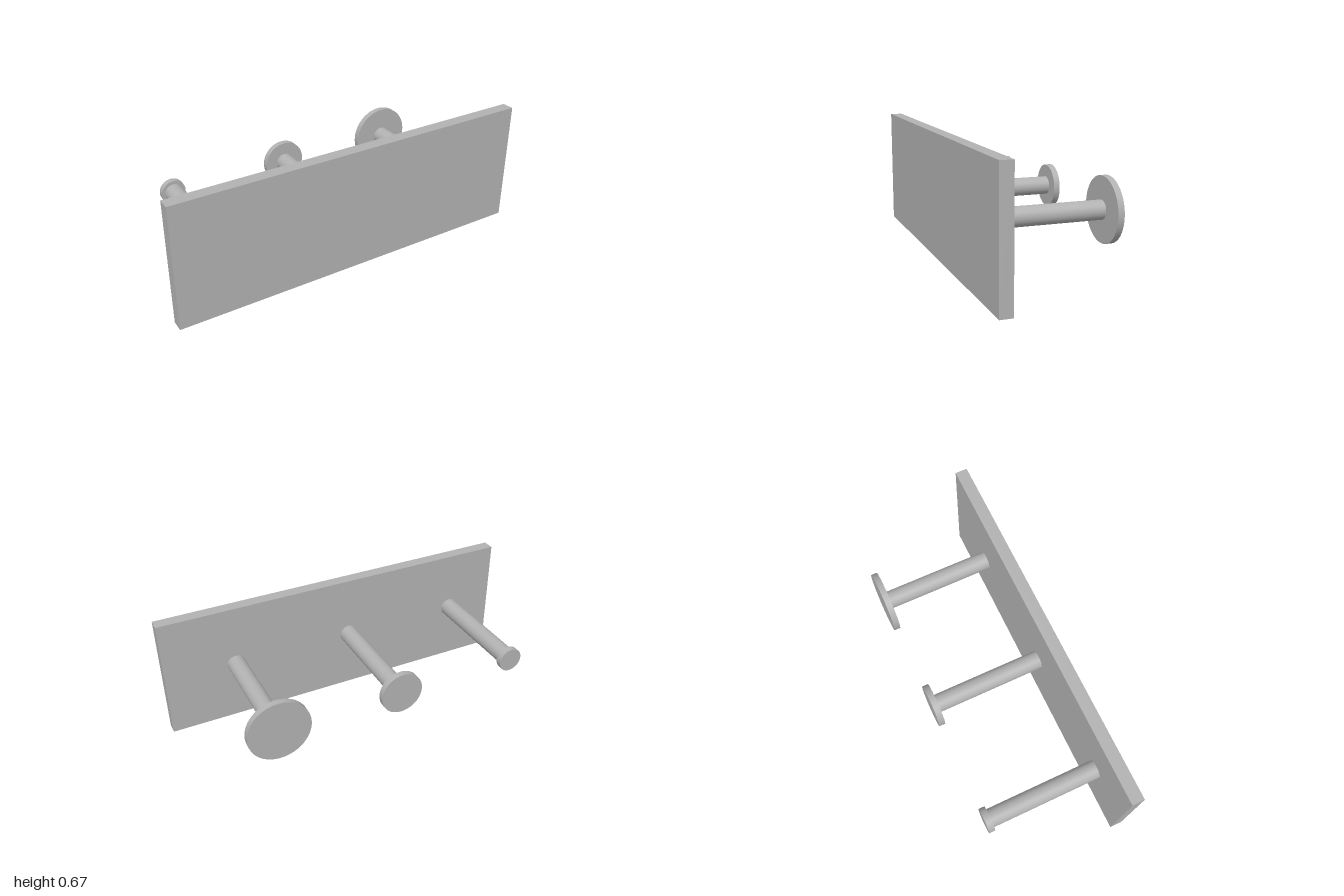
import * as THREE from 'three';

export function createModel() {
  const group = new THREE.Group();
  const grey = new THREE.MeshStandardMaterial({ color: 0xb2b2b2 });
  grey.name = 'plain grey';

  const add = (name, geometry, x, y, z) => {
    const mesh = new THREE.Mesh(geometry, grey);
    mesh.name = name;
    mesh.position.set(x, y, z);
    group.add(mesh);
  };
  // cylinder lying along z
  const rod = (radius, length) =>
    new THREE.CylinderGeometry(radius, radius, length, 64).rotateX(Math.PI / 2);

  // mounting board
  add('board', new THREE.BoxGeometry(2, 0.668, 0.066), 0, 0.334, 0.317);

  // three pegs with end discs of growing size
  const pegs = [
    ['small', -0.726, 0.066],
    ['medium', -0.058, 0.115],
    ['large', 0.61, 0.166],
  ];
  for (const [size, x, radius] of pegs) {
    add(size + 'Peg', rod(0.049, 0.6), x, 0.334, -0.016);
    add(size + 'EndDisc', rod(radius, 0.033), x, 0.334, -0.3335);
  }
  return group;
}
